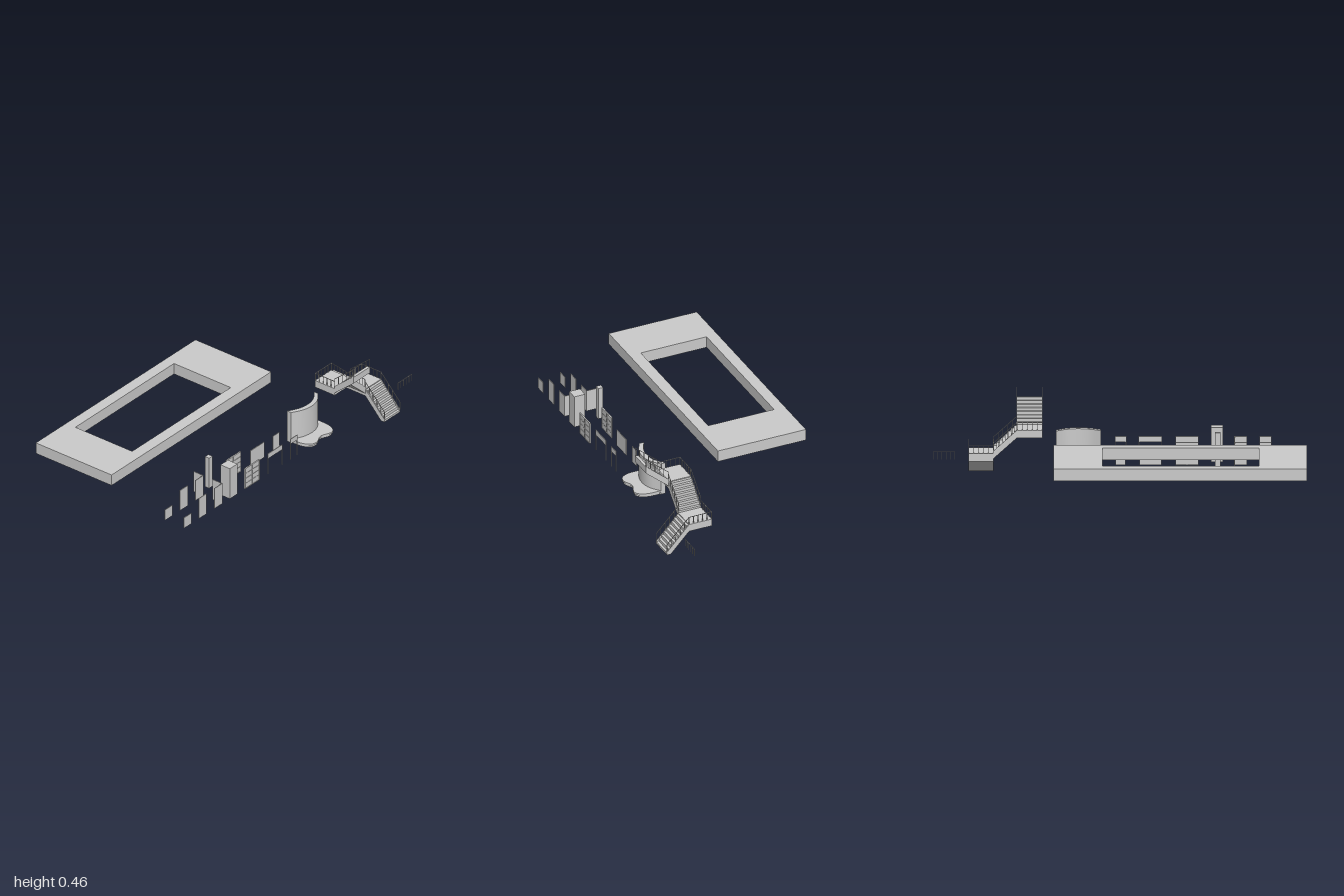
import * as THREE from 'three';
import { toCreasedNormals } from 'three/addons/utils/BufferGeometryUtils.js';

const material = new THREE.MeshStandardMaterial({ color: 0xcccccc });
const V = (x, y, z) => new THREE.Vector3(x, y, z);

function add(parent, name, geometry) {
  const mesh = new THREE.Mesh(geometry, material);
  mesh.name = name;
  parent.add(mesh);
  return mesh;
}

// Box given by its limits on each axis
function box(parent, name, x0, x1, y0, y1, z0, z1) {
  const mesh = add(parent, name, new THREE.BoxGeometry(x1 - x0, y1 - y0, z1 - z0));
  mesh.position.set((x0 + x1) / 2, (y0 + y1) / 2, (z0 + z1) / 2);
  return mesh;
}

function group(parent, name) {
  const g = new THREE.Group();
  g.name = name;
  parent.add(g);
  return g;
}

// Handrail from a to b (points at floor level) on evenly spaced posts
function railing(parent, name, a, b, posts, height = 0.044) {
  const g = group(parent, name);
  const up = V(0, height, 0);
  const bar = add(g, 'handrail', new THREE.BoxGeometry(0.003, 0.003, a.distanceTo(b) + 0.003));
  bar.position.copy(a).lerp(b, 0.5).add(up);
  bar.lookAt(b.clone().add(up));
  for (let i = 0; i < posts; i++) {
    const p = a.clone().lerp(b, i / (posts - 1));
    box(g, 'railPost', p.x - 0.0015, p.x + 0.0015, p.y, p.y + height, p.z - 0.0015, p.z + 0.0015);
  }
}

// Flight climbing along local +x, with treads between two side stringers
function flight(parent, name, start, angle, run, rise, width, steps, onGround) {
  const g = group(parent, name);
  const h = rise / steps, d = run / steps, depth = 0.042;
  const slope = (rise - h) / run;
  const under = [[run, rise - depth]];
  if (onGround) under.push([(depth - h) / slope, 0], [0, 0]);
  else under.push([0, h - depth]);
  const treads = [];
  for (let i = 0; i < steps; i++) treads.push([i * d, h * (i + 0.7)], [(i + 1) * d, h * (i + 0.7)]);
  const extrude = (points, w) => new THREE.ExtrudeGeometry(
    new THREE.Shape([...points, ...under].map(p => new THREE.Vector2(...p))),
    { depth: w, bevelEnabled: false });
  add(g, 'treads', extrude(treads, width - 0.006)).position.z = 0.003;
  for (const z of [0, width - 0.003]) {
    add(g, 'stringer', extrude([[0, h], [run, rise]], 0.003)).position.z = z;
    const s = z ? width - 0.0015 : 0.0015;
    railing(g, 'flightRailing', V(0, h, s), V(run, rise, s), 6);
  }
  g.position.copy(start);
  g.rotation.y = angle;
}

// Plan outline of [x, z] points, raised from y0 to y1
function raised(parent, name, points, y0, y1) {
  const shape = new THREE.Shape(points.map(([x, z]) => new THREE.Vector2(x, -z)));
  const geo = new THREE.ExtrudeGeometry(shape, { depth: y1 - y0, bevelEnabled: false });
  geo.rotateX(-Math.PI / 2).translate(0, y0, 0);
  return add(parent, name, toCreasedNormals(geo, 0.5));
}

const smooth = (points, n) => new THREE.SplineCurve(points.map(p => new THREE.Vector2(...p)))
  .getPoints(n).map(p => [p.x, p.y]);

export function createModel() {
  const root = new THREE.Group();
  root.name = 'buildingParts';
  const base = 0.077;

  // Roof slab with a rectangular opening
  const slab = new THREE.Shape([[-1, 0.003], [0.355, 0.003], [0.355, 0.524], [-1, 0.524]]
    .map(p => new THREE.Vector2(...p)));
  slab.holes.push(new THREE.Path([[-0.743, 0.07], [-0.743, 0.46], [0.094, 0.46], [0.094, 0.07]]
    .map(p => new THREE.Vector2(...p))));
  const slabGeo = new THREE.ExtrudeGeometry(slab, { depth: 0.066, bevelEnabled: false });
  slabGeo.rotateX(-Math.PI / 2).translate(0, 0.202, 0);
  add(root, 'roofSlab', slabGeo);

  // Wall panels: low, tall, corner and gridded, each in two rows
  const panels = group(root, 'wallPanels');
  const t = 0.002;
  for (const z of [0.313, 0.443]) {
    box(panels, 'lowPanel', -0.938, -0.876, base, 0.142, z - t, z + t);
    box(panels, 'tallPanel', -0.81, -0.745, base, 0.203, z - t, z + t);
    box(panels, 'cornerPanel', -0.68, -0.61, base, 0.203, z - t, z + t);
    box(panels, 'cornerReturn', -0.614, -0.61, base, 0.203, z - 0.064, z - t);
    box(panels, 'gridPanel', -0.42, -0.297, base, 0.203, z - t, z + t);
    for (let i = 0; i < 5; i++) {
      const y = base + i * 0.0308;
      box(panels, 'gridRail', -0.42, -0.297, y, y + 0.003, z - 0.004, z + 0.004);
    }
    for (const x of [-0.42, -0.36, -0.3])
      box(panels, 'gridMullion', x, x + 0.003, base, 0.203, z - 0.004, z + 0.004);
  }

  // Square columns
  box(root, 'wideColumn', -0.55, -0.487, base, 0.266, 0.382, 0.446);
  box(root, 'slimColumn', -0.537, -0.509, base, 0.266, 0.265, 0.293);

  // Door frames in front, with their door leaves behind
  for (const [x0, x1] of [[-0.225, -0.1], [-0.035, 0.027]]) {
    const frame = group(root, 'doorFrame');
    box(frame, 'lintel', x0, x1, 0.173, 0.203, 0.441, 0.445);
    for (const x of [x0, x1 - 0.004]) box(frame, 'jamb', x, x + 0.004, base, 0.173, 0.441, 0.445);
    box(root, 'doorLeaf', x0 + 0.004, x1 - 0.004, base, 0.173, 0.318, 0.322);
  }

  // Curved screen standing on a wavy platform
  const counter = group(root, 'curvedScreen');
  const back = smooth([[0.1, 0.313], [0.16, 0.345], [0.225, 0.356], [0.285, 0.343], [0.343, 0.302]], 20);
  const front = back.map(([x, z]) => [x, z + 0.028]).reverse();
  const edge = smooth([[0.343, 0.33], [0.34, 0.405], [0.318, 0.452], [0.285, 0.463], [0.225, 0.443],
    [0.165, 0.465], [0.125, 0.452], [0.103, 0.405], [0.1, 0.34]], 40);
  raised(counter, 'screenWall', [...back, ...front], base, 0.267);
  raised(counter, 'platformTop', [...back, ...edge], 0.09, 0.1);
  const inset = edge.map(([x, z]) => [0.222 + (x - 0.222) * 0.96, z - 0.006]);
  raised(counter, 'platformBase', [...back, ...inset], base, 0.09);

  // Three-flight staircase turning around two landings
  const stairs = group(root, 'staircase');
  const low = 0.156, high = 0.284, zb = 0.25, zf = 0.385;
  flight(stairs, 'lowerFlight', V(0.675, 0, 0.516), Math.PI / 2, 0.131, low, 0.135, 9, true);
  flight(stairs, 'middleFlight', V(0.675, low, zf), Math.PI, 0.123, high - low, 0.135, 8, false);
  flight(stairs, 'upperFlight', V(0.552, high, zf), -Math.PI / 2, 0.131, 0.126, 0.138, 8, false);
  box(stairs, 'lowerLanding', 0.675, 0.81, low - 0.042, low, zb, zf);
  box(stairs, 'upperLanding', 0.414, 0.552, high - 0.042, high, zb, zf);
  railing(stairs, 'landingRailing', V(0.677, low, zb + 0.002), V(0.808, low, zb + 0.002), 6);
  railing(stairs, 'landingRailing', V(0.808, low, zb + 0.002), V(0.808, low, zf), 6);
  railing(stairs, 'landingRailing', V(0.416, high, zb + 0.002), V(0.55, high, zb + 0.002), 6);
  railing(stairs, 'landingRailing', V(0.416, high, zb + 0.002), V(0.416, high, zf), 6);

  // Loose length of railing
  railing(root, 'separateRailing', V(0.882, base, 0.443), V(0.998, base, 0.443), 6, 0.041);

  return root;
}
